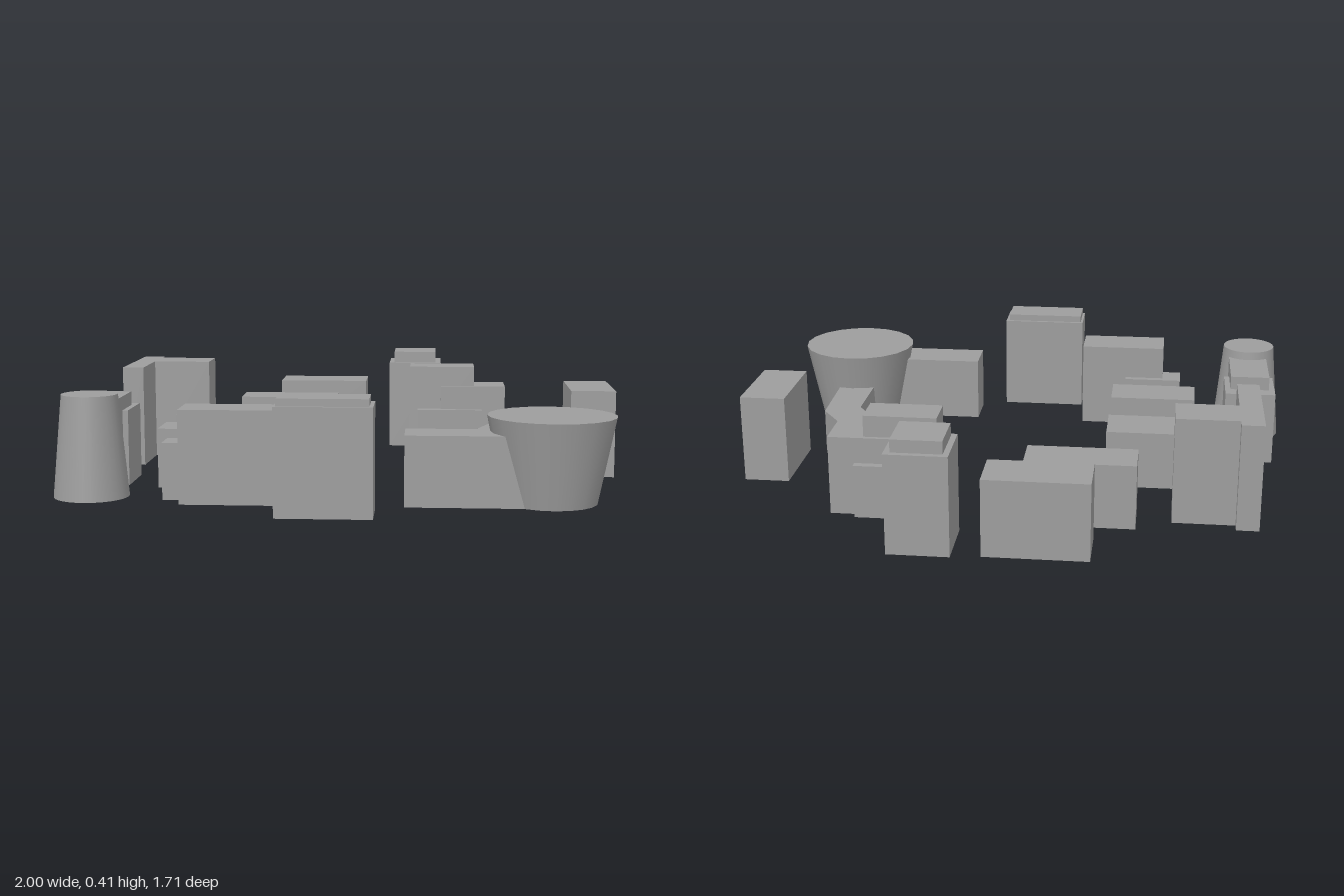
import * as THREE from 'three';

const material = new THREE.MeshStandardMaterial({ color: 0x9d9d9d });
const BASE = 0.007;

// Rectangular block given by its plan extents and top height
function block(name, x0, x1, z0, z1, top, bottom = BASE) {
  const mesh = new THREE.Mesh(new THREE.BoxGeometry(x1 - x0, top - bottom, z1 - z0), material);
  mesh.position.set((x0 + x1) / 2, (top + bottom) / 2, (z0 + z1) / 2);
  mesh.name = name;
  return mesh;
}

// Round tower with different radii at roof and foot
function roundTower(name, x, z, rTop, rBottom, top, bottom, sides) {
  const mesh = new THREE.Mesh(new THREE.CylinderGeometry(rTop, rBottom, top - bottom, sides), material);
  mesh.position.set(x, (top + bottom) / 2, z);
  mesh.name = name;
  return mesh;
}

// Bent low wing running back from the flared tower
function curvedWing() {
  const plan = [
    [0.54, -0.185], [0.678, -0.082], [0.77, 0.05], [0.78, 0.42],
    [0.64, 0.42], [0.642, 0.11], [0.582, 0.015], [0.493, -0.055],
  ];
  const shape = new THREE.Shape(plan.map(([x, z]) => new THREE.Vector2(x, -z)));
  const geometry = new THREE.ExtrudeGeometry(shape, { depth: 0.17 - BASE, bevelEnabled: false });
  geometry.rotateX(-Math.PI / 2);
  geometry.translate(0, BASE, 0);
  const mesh = new THREE.Mesh(geometry, material);
  mesh.name = 'curvedWing';
  return mesh;
}

export function createModel() {
  const model = new THREE.Group();
  model.name = 'buildingComplex';

  // Blocks: name, x0, x1, z0, z1, top
  const blocks = [
    // Back row
    ['backBlock', -0.32, 0.04, -0.84, -0.66, 0.28],
    ['backInnerBlock', -0.458, -0.07, -0.57, -0.412, 0.24],
    ['backTower', 0.14, 0.355, -0.855, -0.643, 0.36],
    ['clusterTall', 0.23, 0.488, -0.53, -0.395, 0.37],
    ['clusterMiddle', 0.355, 0.612, -0.545, -0.378, 0.293],
    ['clusterLow', 0.262, 0.52, -0.572, -0.353, 0.2],
    // Corner building
    ['cornerSlab', -0.88, -0.8, -0.54, -0.107, 0.39],
    ['cornerWing', -0.8, -0.58, -0.5, -0.34, 0.39],
    // Paired blocks joined by a passage
    ['courtBlockBack', -0.657, -0.335, -0.197, -0.012, 0.22],
    ['courtBlockFront', -0.657, -0.335, 0.187, 0.35, 0.22],
    ['courtPassage', -0.615, -0.567, -0.02, 0.195, 0.1],
    // Blocks behind the tapered tower
    ['sideBlock', -0.957, -0.77, 0.105, 0.315, 0.28],
    ['sideBlockLink', -0.935, -0.79, 0.16, 0.46, 0.33],
    // Front row
    ['frontBlock', -0.53, -0.205, 0.49, 0.65, 0.33],
    ['frontBlockAnnex', -0.6, -0.38, 0.465, 0.573, 0.205],
    ['frontTower', -0.187, 0.135, 0.693, 0.852, 0.37],
    ['towerWing', 0.23, 0.67, 0.49, 0.65, 0.25],
    // Free-standing block
    ['sideTower', 0.835, 1, -0.277, 0.05, 0.33],
  ];
  for (const b of blocks) model.add(block(...b));

  // Raised roof caps
  model.add(block('backTowerCap', 0.16, 0.333, -0.835, -0.662, 0.405, 0.36));
  model.add(block('frontTowerCap', -0.178, 0.122, 0.705, 0.84, 0.395, 0.37));

  // Round towers and the bent wing
  model.add(roundTower('taperedTower', -0.868, 0.478, 0.098, 0.132, 0.36, 0, 32));
  model.add(roundTower('flaredTower', 0.727, 0.522, 0.22, 0.16, 0.305, BASE, 20));
  model.add(curvedWing());
  return model;
}
